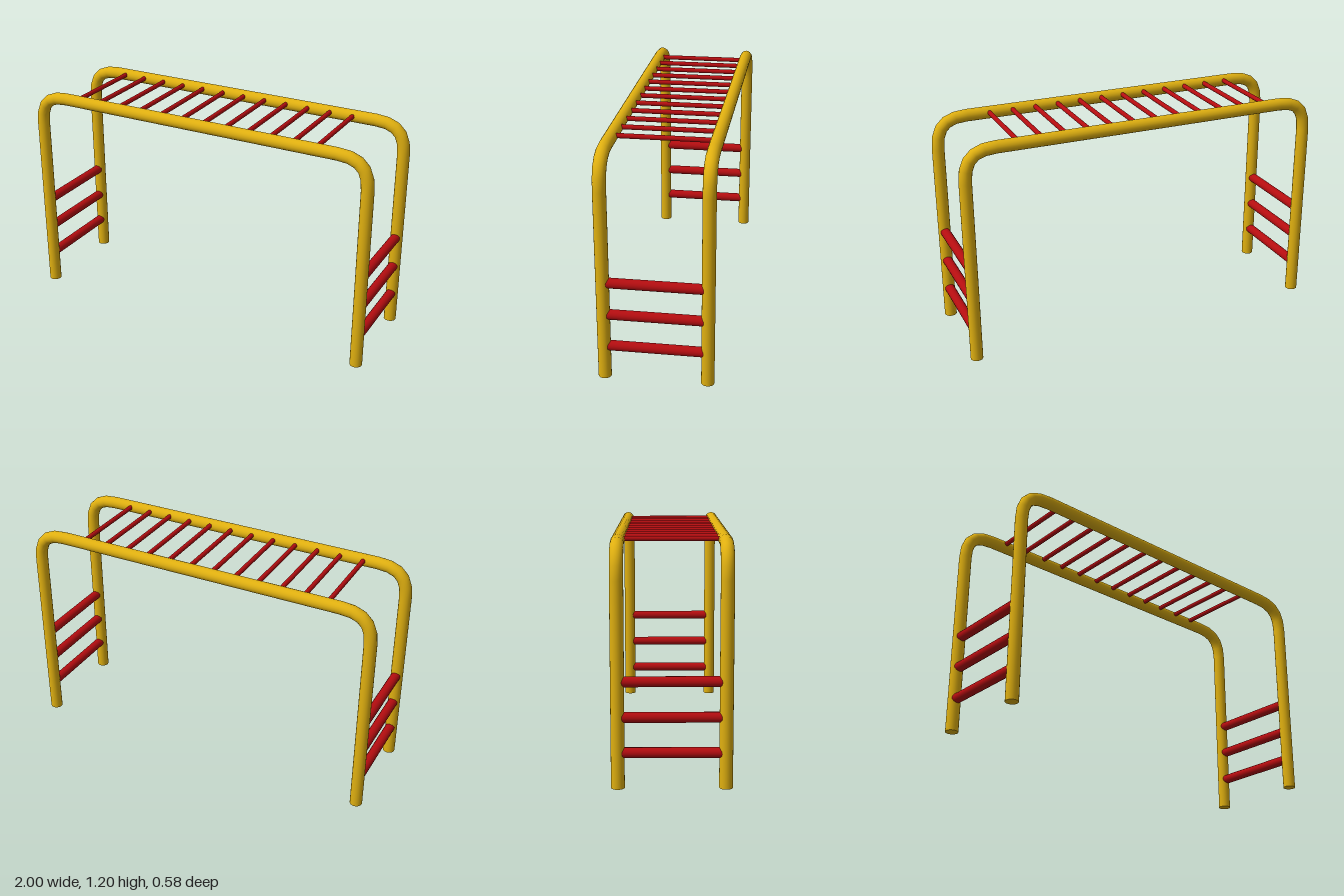
import * as THREE from 'three';

const RAIL_R = 0.033, RAIL_X = 0.967, RAIL_Y = 1.162, RAIL_Z = 0.258;
const BEND = 0.165, BEND_STEPS = 5;

const yellow = new THREE.MeshStandardMaterial({ color: 0xe0b010 });
const red = new THREE.MeshStandardMaterial({ color: 0xb50d10 });

// Curve that places tube rings exactly at given points and tangents
class RingPath extends THREE.Curve {
  constructor(rings) {
    super();
    this.rings = rings;
  }
  ring(u) {
    return this.rings[Math.round(u * (this.rings.length - 1))];
  }
  getPointAt(u, target = new THREE.Vector3()) {
    return target.copy(this.ring(u).point);
  }
  getTangentAt(u, target = new THREE.Vector3()) {
    return target.copy(this.ring(u).tangent);
  }
}

// Two legs and the overhead run, joined by rounded bends
function railGeometry() {
  const v = (x, y) => new THREE.Vector3(x, y, 0);
  const h = BEND * 0.72, y0 = RAIL_Y - BEND, x1 = RAIL_X - BEND;
  const bend = new THREE.CubicBezierCurve3(
    v(-RAIL_X, y0), v(-RAIL_X, y0 + h), v(-x1 - h, RAIL_Y), v(-x1, RAIL_Y));
  const half = [{ point: v(-RAIL_X, 0), tangent: v(0, 1) }];
  for (let i = 0; i <= BEND_STEPS; i++) {
    half.push({ point: bend.getPoint(i / BEND_STEPS), tangent: bend.getTangent(i / BEND_STEPS) });
  }
  const mirrored = half.map(({ point, tangent }) => ({
    point: v(-point.x, point.y), tangent: v(tangent.x, -tangent.y),
  })).reverse();
  const rings = [...half, ...mirrored];
  return new THREE.TubeGeometry(new RingPath(rings), rings.length - 1, RAIL_R, 20, false);
}

// Bar running front to back between the two rails
function crossBar(name, radius, x, y) {
  const geometry = new THREE.CylinderGeometry(radius, radius, RAIL_Z * 2, 16);
  geometry.rotateX(Math.PI / 2);
  const bar = new THREE.Mesh(geometry, red);
  bar.name = name;
  bar.position.set(x, y, 0);
  return bar;
}

export function createModel() {
  const model = new THREE.Group();
  model.name = 'monkeyBars';

  // Side rails with closed feet
  const tube = railGeometry();
  const foot = new THREE.CircleGeometry(RAIL_R, 20).rotateX(Math.PI / 2);
  for (const [name, z] of [['frontRail', RAIL_Z], ['backRail', -RAIL_Z]]) {
    const rail = new THREE.Group();
    rail.name = name;
    rail.position.z = z;
    const pipe = new THREE.Mesh(tube, yellow);
    pipe.name = 'railPipe';
    rail.add(pipe);
    for (const x of [-RAIL_X, RAIL_X]) {
      const cap = new THREE.Mesh(foot, yellow);
      cap.name = 'footCap';
      cap.position.x = x;
      rail.add(cap);
    }
    model.add(rail);
  }

  // Thin overhead rungs
  for (let i = 0; i < 12; i++) {
    model.add(crossBar('overheadRung', 0.0125, -0.73 + i * 0.1284, 1.168));
  }

  // Thick climbing steps at both ends
  for (const x of [-RAIL_X, RAIL_X]) {
    for (const y of [0.173, 0.346, 0.518]) model.add(crossBar('climbingStep', 0.026, x, y));
  }

  return model;
}
